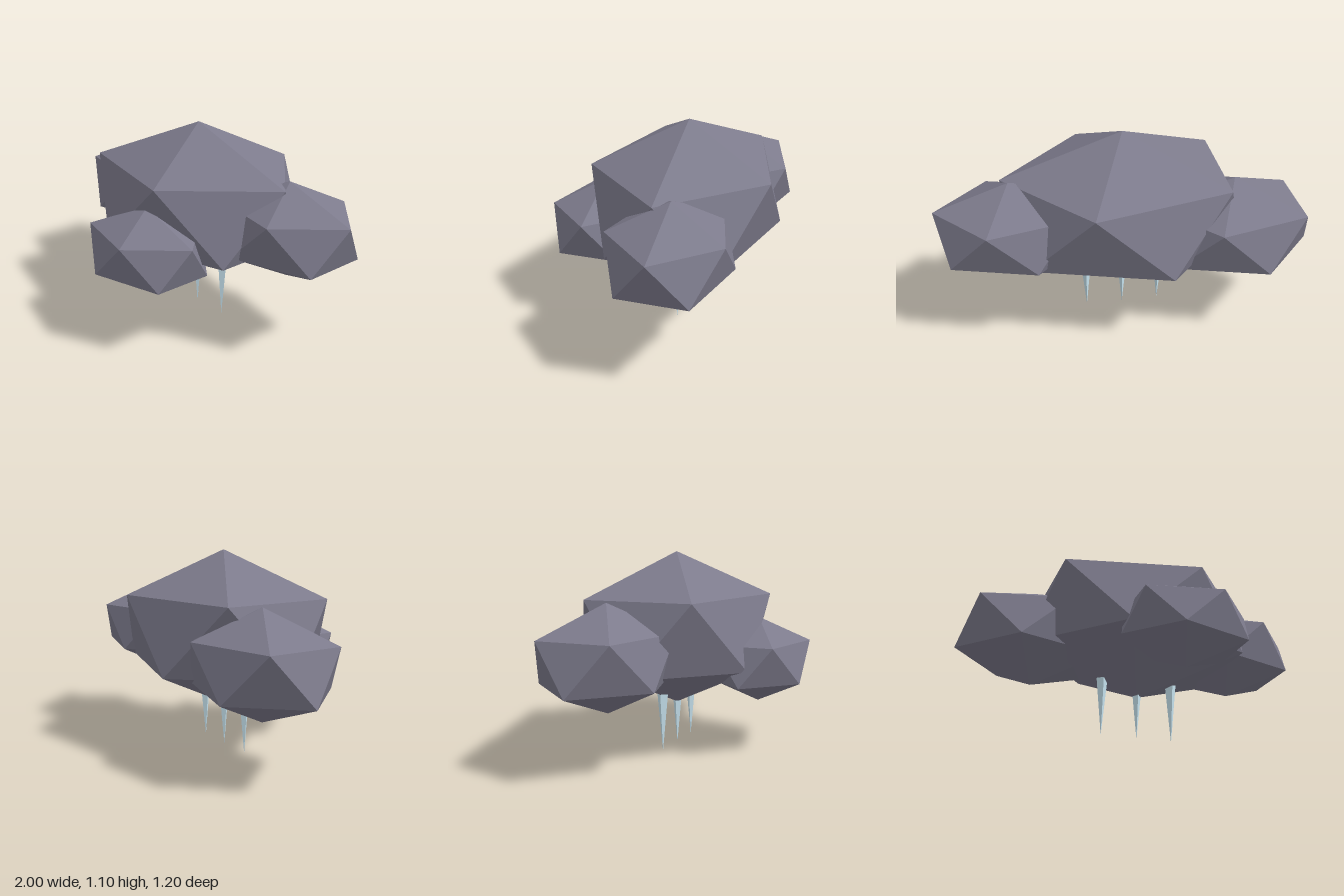
import * as THREE from 'three';

const cloudMaterial = new THREE.MeshStandardMaterial({ color: 0x7d7b8c, flatShading: true });
const iceMaterial = new THREE.MeshStandardMaterial({ color: 0xc8e4f0, flatShading: true });

// Stretched icosahedron with one corner straight up and an upper-ring corner towards +x
function puff(name, position, radii) {
  const geometry = new THREE.IcosahedronGeometry(1, 0);
  geometry.rotateZ(-Math.atan(2 / (1 + Math.sqrt(5))));
  geometry.scale(...radii);
  const mesh = new THREE.Mesh(geometry, cloudMaterial);
  mesh.name = name;
  mesh.position.set(...position);
  return mesh;
}

// Four-sided spike pointing down, its wide end buried in the cloud
function icicle(name, x) {
  const height = 0.4;
  const geometry = new THREE.ConeGeometry(0.039, height, 4);
  geometry.rotateX(Math.PI);
  const mesh = new THREE.Mesh(geometry, iceMaterial);
  mesh.name = name;
  mesh.position.set(x, height / 2, -0.115);
  return mesh;
}

export function createModel() {
  const model = new THREE.Group();
  model.name = 'iceCloud';

  // Cloud puffs
  model.add(
    puff('mainPuff', [0.003, 0.667, -0.115], [0.722, 0.428, 0.571]),
    puff('leftPuff', [0.605, 0.6235, -0.198], [0.441, 0.2615, 0.349]),
    puff('rightPuff', [-0.573, 0.571, -0.255], [0.478, 0.284, 0.379]),
    puff('frontPuff', [0.106, 0.5, 0.335], [0.396, 0.236, 0.312])
  );

  // Row of icicles underneath
  ['rightIcicle', 'middleIcicle', 'leftIcicle'].forEach((name, i) => {
    model.add(icicle(name, 0.004 + (i - 1) * 0.205));
  });

  return model;
}
